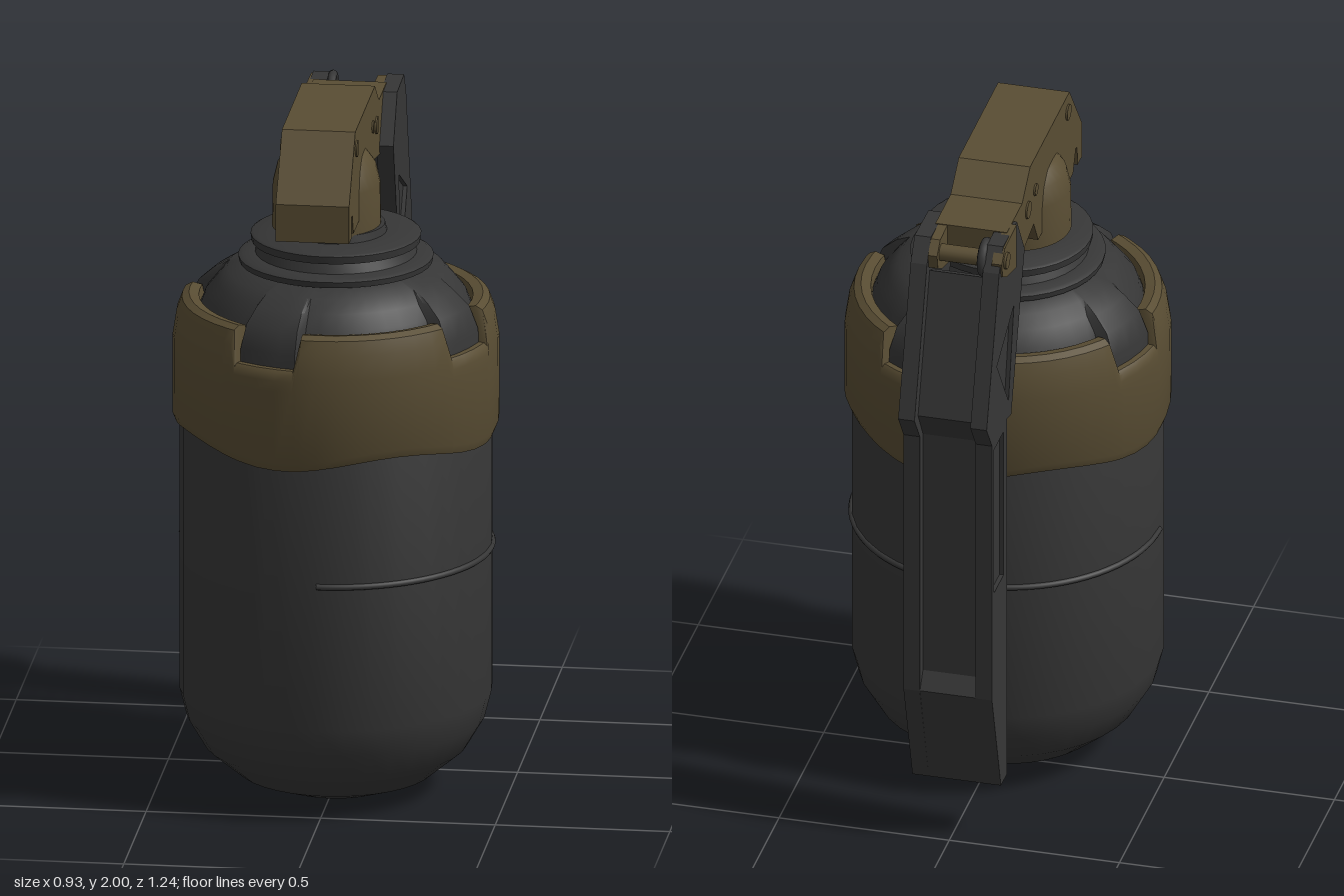
import * as THREE from 'three';
import { toCreasedNormals } from 'three/addons/utils/BufferGeometryUtils.js';

const CZ = 0.157; // z of the canister axis
const RAD = Math.PI / 180;
const NOTCHES = [25, 110, 200, 295]; // collar cut-outs, degrees from +x towards +z

const brown = new THREE.MeshStandardMaterial({ color: 0x594d33 });
brown.name = 'olive brown';
const dark = new THREE.MeshStandardMaterial({ color: 0x363636 });
dark.name = 'dark grey';

function add(parent, name, geometry, material) {
  const mesh = new THREE.Mesh(geometry, material);
  mesh.name = name;
  parent.add(mesh);
  return mesh;
}

// Turned part about the canister axis (or an axis shifted in x)
function lathe(points, x = 0) {
  const geo = new THREE.LatheGeometry(points.map(([r, y]) => new THREE.Vector2(r, y)), 36);
  return toCreasedNormals(geo, 0.6).translate(x, 0, CZ);
}

// Side outline in (z, y), extruded from x0 to x1
function sideExtrude(outline, x0, x1, holes = []) {
  const toPoints = (list) => list.map(([z, y]) => new THREE.Vector2(z, y));
  const shape = new THREE.Shape(toPoints(outline));
  for (const hole of holes) shape.holes.push(new THREE.Path(toPoints(hole)));
  const geo = new THREE.ExtrudeGeometry(shape, { depth: x1 - x0, bevelEnabled: false });
  return geo.rotateY(-Math.PI / 2).translate(x1, 0, 0);
}

// Round bar along x
function crossBar(r, x0, x1, y, z, sides = 16) {
  return new THREE.CylinderGeometry(r, r, x1 - x0, sides).rotateZ(Math.PI / 2).translate((x0 + x1) / 2, y, z);
}

// 1 inside a notch, 0 outside, with a short ramp
function notchAmount(deg) {
  const d = Math.min(...NOTCHES.map((c) => Math.abs(((deg - c + 540) % 360) - 180)));
  return 1 - THREE.MathUtils.clamp((d - 11.5) / 2.5, 0, 1);
}

// Ring lofted from a cross-section that changes with the angle
function notchedRing(section) {
  const set = new Set();
  for (let a = 0; a < 360; a += 7.5) set.add(a);
  for (const c of NOTCHES) for (const d of [-14, -11.5, 11.5, 14]) set.add((c + d + 360) % 360);
  const angles = [...set].sort((a, b) => a - b);
  const position = [], index = [];
  let count = 0;
  for (const a of angles) {
    const pts = section(a);
    count = pts.length;
    for (const [r, y] of pts) position.push(r * Math.cos(a * RAD), y, CZ + r * Math.sin(a * RAD));
  }
  angles.forEach((_, i) => {
    const n = (i + 1) % angles.length;
    for (let j = 0; j < count - 1; j++) {
      const a = i * count + j, c = n * count + j;
      index.push(a, a + 1, c, a + 1, c + 1, c);
    }
  });
  const geo = new THREE.BufferGeometry();
  geo.setAttribute('position', new THREE.Float32BufferAttribute(position, 3));
  geo.setIndex(index);
  return toCreasedNormals(geo, 0.7);
}

const mix = (from, to, t) => from.map(([r, y], i) => [r + (to[i][0] - r) * t, y + (to[i][1] - y) * t]);

function buildCanister(root) {
  const group = new THREE.Group();
  group.name = 'canister';
  root.add(group);

  add(group, 'body', lathe([
    [0, 0], [0.165, 0.003], [0.28, 0.045], [0.375, 0.125], [0.425, 0.21], [0.445, 0.29],
    [0.445, 1.25], [0.40, 1.34],
  ]), dark);

  // Raised seam, left out on one quarter
  const rib = new THREE.TorusGeometry(0.445, 0.009, 8, 60, Math.PI * 1.5);
  add(group, 'rib', rib.rotateZ(Math.PI).rotateX(Math.PI / 2).translate(0, 0.72, CZ), dark);

  // Shoulder with four lugs that fill the collar notches
  const plain = [[0.40, 1.30], [0.395, 1.40], [0.372, 1.46], [0.34, 1.50], [0.31, 1.535], [0.25, 1.555]];
  const lug = [[0.435, 1.30], [0.432, 1.40], [0.405, 1.465], [0.36, 1.505], [0.31, 1.537], [0.25, 1.555]];
  add(group, 'shoulder', notchedRing((a) => mix(plain, lug, notchAmount(a))), dark);

  // Stepped neck flanges
  add(group, 'neck', lathe([
    [0.24, 1.54], [0.255, 1.555], [0.275, 1.558], [0.278, 1.575], [0.265, 1.582], [0.23, 1.585],
    [0.215, 1.615], [0.24, 1.618], [0.243, 1.64], [0.235, 1.645], [0.145, 1.648], [0.14, 1.67], [0, 1.67],
  ]), dark);

  // Collar with a wavy lower edge and notched upper edge
  add(group, 'collar', notchedRing((a) => {
    const yb = 1.08 - 0.02 * Math.cos(4 * (a - 15) * RAD);
    const base = [[0.435, yb + 0.01], [0.455, yb], [0.465, yb + 0.025]];
    const high = [[0.464, 1.34], [0.453, 1.41], [0.438, 1.45], [0.418, 1.461], [0.39, 1.455], [0.385, 1.43], [0.40, 1.30]];
    const low = [[0.465, 1.30], [0.464, 1.33], [0.46, 1.35], [0.45, 1.36], [0.415, 1.36], [0.405, 1.35], [0.40, 1.30]];
    return base.concat(mix(high, low, notchAmount(a)));
  }), brown);
}

function buildHead(root) {
  const group = new THREE.Group();
  group.name = 'fuseHead';
  root.add(group);

  add(group, 'housing', sideExtrude([
    [0.49, 1.71], [0.49, 1.82], [0.35, 2.0], [-0.09, 2.0], [-0.18, 1.93], [-0.35, 1.93], [-0.35, 1.85],
    [-0.24, 1.76], [-0.19, 1.765], [-0.05, 1.79], [0.0, 1.71], [0.39, 1.71], [0.42, 1.775], [0.435, 1.77], [0.44, 1.71],
  ], -0.13, 0.08), brown);

  add(group, 'boss', lathe([
    [0, 1.66], [0.155, 1.66], [0.153, 1.79], [0.14, 1.845], [0.115, 1.88], [0.07, 1.897], [0, 1.9],
  ], -0.027), brown);

  // Small pins through the housing
  for (const [z, y, r] of [[0.33, 1.945, 0.024], [-0.035, 1.895, 0.018], [-0.118, 1.875, 0.026]])
    add(group, 'pin', crossBar(r, -0.135, 0.085, y, z, 14), brown);

  // Hinge lugs, axle and spring coil
  const knuckle = [[-0.3, 1.93], [-0.43, 1.925], [-0.465, 1.89], [-0.455, 1.845], [-0.41, 1.82], [-0.3, 1.79]];
  add(group, 'hingeLug', sideExtrude(knuckle, -0.145, -0.115), brown);
  add(group, 'hingeLug', sideExtrude(knuckle, 0.045, 0.072), brown);
  add(group, 'axle', crossBar(0.025, -0.152, 0.075, 1.88, -0.42), brown);
  add(group, 'springCoil', new THREE.TorusGeometry(0.045, 0.013, 8, 20)
    .rotateY(Math.PI / 2).translate(-0.083, 1.88, -0.415), dark);
}

function buildLever(root) {
  const group = new THREE.Group();
  group.name = 'safetyLever';
  root.add(group);

  const side = [
    [-0.19, 1.79], [-0.275, 1.925], [-0.43, 1.93], [-0.475, 1.865], [-0.615, 1.43], [-0.555, 1.345],
    [-0.555, 0.51], [-0.455, 0.175], [-0.385, 0.175], [-0.385, 1.34], [-0.34, 1.33],
  ];
  const recesses = [
    [[-0.31, 1.67], [-0.50, 1.575], [-0.37, 1.39]],
    [[-0.425, 1.32], [-0.53, 1.32], [-0.53, 0.85], [-0.425, 0.85]],
  ];
  // Each cheek is a solid plate with a cut-out skin over it
  add(group, 'leverCheek', sideExtrude(side, 0.072, 0.108), dark);
  add(group, 'leverCheekSkin', sideExtrude(side, 0.108, 0.12, recesses), dark);
  add(group, 'leverCheek', sideExtrude(side, -0.128, -0.092), dark);
  add(group, 'leverCheekSkin', sideExtrude(side, -0.14, -0.128, recesses), dark);

  // Recessed web between the cheeks, flush again at the tail
  add(group, 'leverWeb', sideExtrude([
    [-0.40, 1.81], [-0.445, 1.83], [-0.575, 1.425], [-0.52, 1.335], [-0.52, 0.56], [-0.553, 0.51],
    [-0.455, 0.175], [-0.385, 0.175], [-0.385, 1.33], [-0.44, 1.36], [-0.50, 1.45],
  ], -0.092, 0.072), dark);
}

export function createModel() {
  const root = new THREE.Group();
  root.name = 'canisterWithLever';
  buildCanister(root);
  buildHead(root);
  buildLever(root);
  return root;
}
